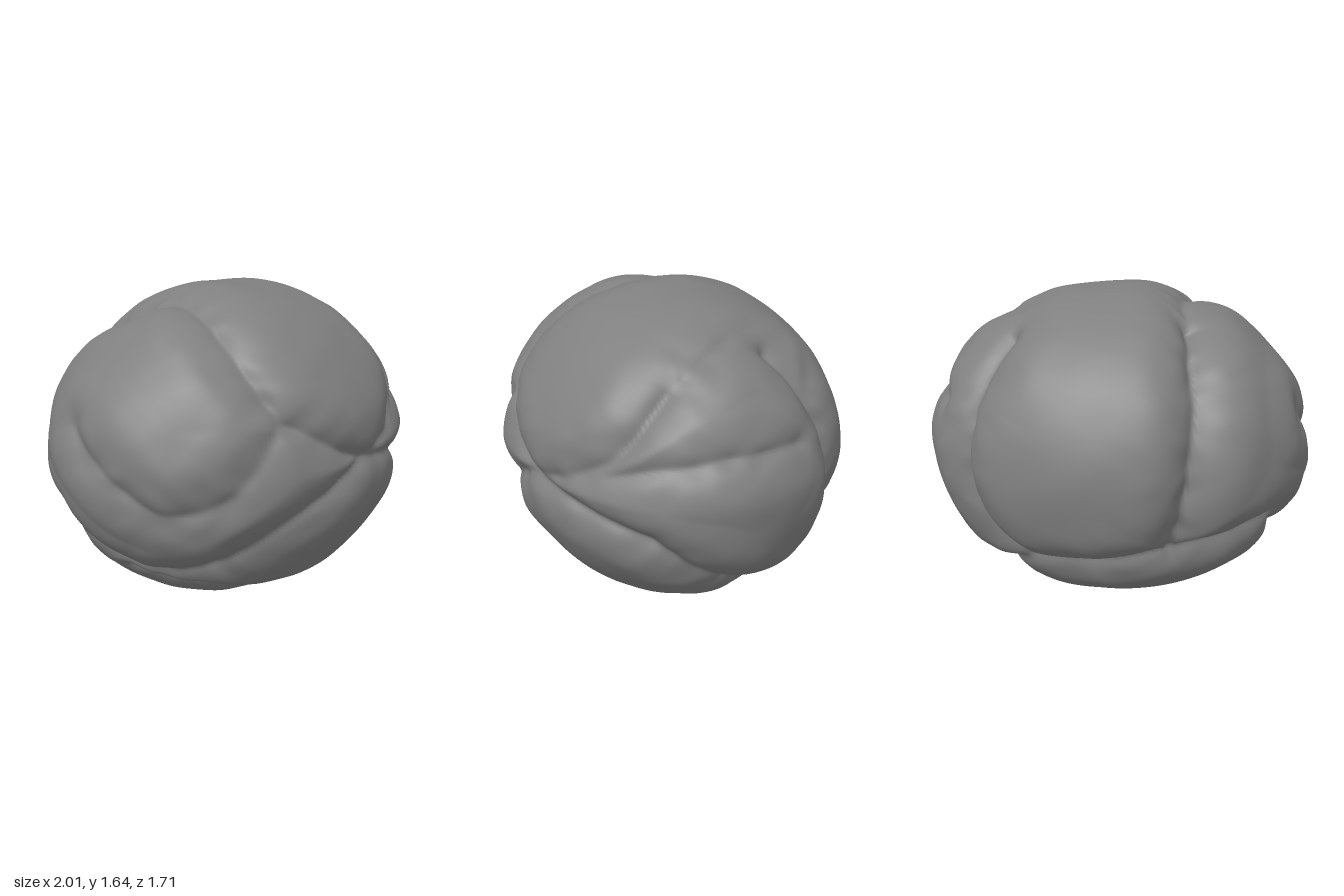
import * as THREE from 'three';
import { mergeVertices } from 'three/addons/utils/BufferGeometryUtils.js';

// Half sizes of the rounded mass
const RX = 1, RY = 0.817, RZ = 0.865;

// Places where folds meet: [longitude, latitude] in degrees, 0 = front, 90 = left
const BROW = [-22, 20], FRONT = [10, 2], SHOULDER = [60, 42], CROWN = [-125, 60];
const HEEL = [150, -38], HIP = [124, -47], BACK = [204, -28], FLANK = [249, -23];

// A fold between two lobes: a smooth line sampled on the unit sphere
function fold(depth, width, ...points) {
  const onSphere = ([lon, lat]) => new THREE.Vector3().setFromSphericalCoords(
    1, THREE.MathUtils.degToRad(90 - lat), THREE.MathUtils.degToRad(lon));
  const curve = new THREE.CatmullRomCurve3(points.map(onSphere));
  return { depth, width, samples: curve.getSpacedPoints(180).map((p) => p.normalize()) };
}

// Gentle unevenness, from layered waves
const wave = (p, f) =>
  Math.sin(f * p.x + 1.3 * Math.sin(f * 0.7 * p.y)) *
  Math.sin(f * p.y + 0.8 + Math.sin(f * 0.8 * p.z)) *
  Math.cos(f * p.z + 1.1 * Math.sin(f * 0.6 * p.x));

function lobedGeometry() {
  const folds = [
    // over the top, then deeper down the back
    fold(0.07, 0.07, BROW, [-32, 37], [-90, 70], CROWN),
    fold(0.14, 0.1, CROWN, [-140, 46], [-149, 20], [-153, -5], BACK),
    // rim of the round front lobe, fading over the crown
    fold(0.07, 0.065, BROW, FRONT, [42, 18], SHOULDER),
    fold(0.02, 0.06, SHOULDER, [110, 58], [133, 36]),
    // diagonal across the front to the right flank
    fold(0.075, 0.065, FRONT, [-22, -19], [-48, -38], [-72, -42], FLANK),
    // under, behind and across the left side lobe
    fold(0.075, 0.065, FRONT, [54, -11], [82, -35], [102, -45], HIP, HEEL),
    fold(0.11, 0.09, HEEL, [134, -15], [129, 20], [122, 50]),
    fold(0.045, 0.07, [30, 8], [67, 19], [110, 19]),
    // along the lower back
    fold(0.12, 0.1, HEEL, [180, -35], BACK, [228, -25], FLANK),
    // rim of the bottom lobe
    fold(0.065, 0.065, HIP, [118, -62], [78, -73], [17, -66], [-50, -54], [-88, -45]),
    // lower edge of the right side lobe
    fold(0.04, 0.08, BROW, [-38, -4], [-58, -11], [-80, 2], [-97, 14]),
  ];

  // Ball with its seam welded so the normals stay smooth all round
  let geo = new THREE.SphereGeometry(1, 260, 170);
  geo.deleteAttribute('uv');
  geo.deleteAttribute('normal');
  geo = mergeVertices(geo, 1e-5);

  const pos = geo.attributes.position;
  const p = new THREE.Vector3();
  for (let i = 0; i < pos.count; i++) {
    p.fromBufferAttribute(pos, i).normalize();
    let cut = 0, nearest = 9;
    for (const { depth, width, samples } of folds) {
      let d2 = 9;
      for (const s of samples) d2 = Math.min(d2, p.distanceToSquared(s));
      // steep at the fold, rounding off onto the lobe
      cut = Math.max(cut, depth * Math.exp(-Math.sqrt(d2 + 0.0002) / width));
      nearest = Math.min(nearest, Math.sqrt(d2));
    }
    // lobes swell a little beside each fold, and wrinkle towards it
    const swell = 0.016 * Math.exp(-(((nearest - 0.24) / 0.14) ** 2));
    const wrinkle = 0.015 * Math.exp(-nearest / 0.16) * wave(p, 15);
    const r = 0.995 - cut + swell + wrinkle + 0.005 * wave(p, 7);
    pos.setXYZ(i, RX * r * p.x, RY * (1 + r * p.y), RZ * r * p.z);
  }
  geo.computeVertexNormals();
  return geo;
}

export function createModel() {
  const group = new THREE.Group();
  const body = new THREE.Mesh(lobedGeometry(), new THREE.MeshStandardMaterial({ color: 0x808080 }));
  body.name = 'lobedBody';
  group.add(body);
  return group;
}
